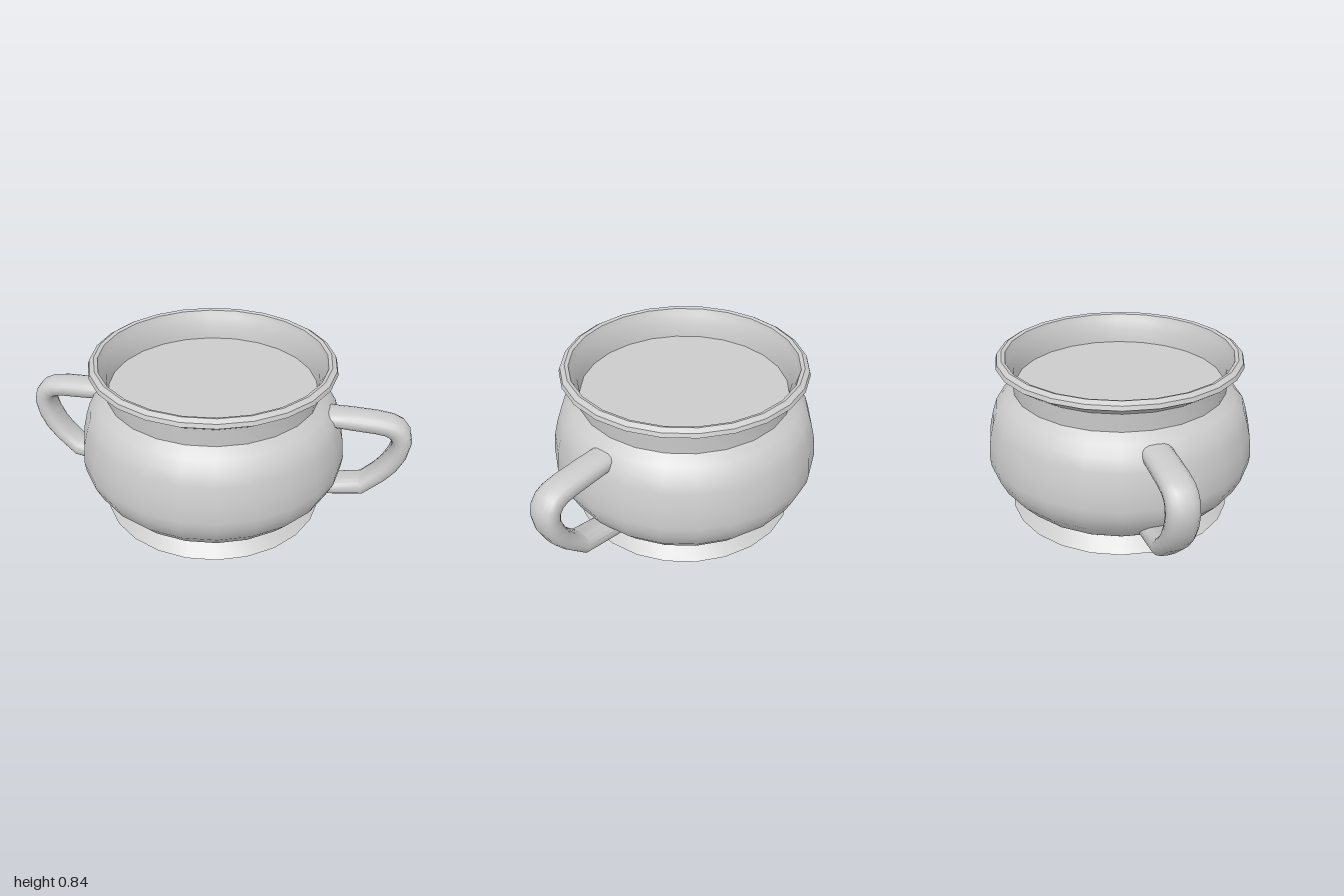
import * as THREE from 'three';
import { toCreasedNormals } from 'three/addons/utils/BufferGeometryUtils.js';

const material = new THREE.MeshStandardMaterial({ color: 0xcccccc, side: THREE.DoubleSide });

function lathe(name, profile, crease) {
  const points = profile.map(([r, y]) => new THREE.Vector2(r, y));
  const mesh = new THREE.Mesh(toCreasedNormals(new THREE.LatheGeometry(points, 24), crease), material);
  mesh.name = name;
  return mesh;
}

// Loft of rounded sections; each station is [outer x, outer y, inner x, inner y].
function handleGeometry(stations, halfWidth, sides) {
  const positions = [];
  const index = [];
  const soften = (v) => Math.sign(v) * Math.abs(v) ** 0.8;
  stations.forEach(([ox, oy, ix, iy]) => {
    for (let j = 0; j < sides; j++) {
      const a = (j / sides) * Math.PI * 2;
      const t = soften(Math.cos(a)) / 2;
      positions.push((ox + ix) / 2 + (ox - ix) * t, (oy + iy) / 2 + (oy - iy) * t, halfWidth * soften(Math.sin(a)));
    }
  });
  for (let i = 0; i < stations.length - 1; i++) {
    for (let j = 0; j < sides; j++) {
      const a = i * sides + j;
      const b = i * sides + ((j + 1) % sides);
      index.push(a, b, a + sides, b, b + sides, a + sides);
    }
  }
  const geometry = new THREE.BufferGeometry();
  geometry.setAttribute('position', new THREE.Float32BufferAttribute(positions, 3));
  geometry.setIndex(index);
  return toCreasedNormals(geometry, 0.62);
}

export function createModel() {
  const group = new THREE.Group();
  group.name = 'twoHandledPot';

  // Pot wall: base, flared foot, belly, neck, rolled rim and inner neck
  const pot = new THREE.Group();
  pot.name = 'pot';
  pot.position.set(-0.012, 0, -0.003);
  pot.add(lathe('potBody', [
    [0, 0], [0.56, 0.005], [0.578, 0.012], [0.525, 0.065], [0.515, 0.075],
    [0.575, 0.12], [0.645, 0.2], [0.68, 0.275], [0.686, 0.33], [0.675, 0.43],
    [0.655, 0.51], [0.633, 0.575], [0.59, 0.62], [0.54, 0.658],
    [0.545, 0.75], [0.62, 0.802], [0.613, 0.822], [0.59, 0.836],
    [0.572, 0.83], [0.56, 0.8], [0.535, 0.75], [0.525, 0.66],
  ], 0.65));

  // Flat surface of the contents just below the neck
  const contents = new THREE.Mesh(new THREE.CircleGeometry(0.532, 24), material);
  contents.name = 'contents';
  contents.rotation.x = -Math.PI / 2;
  contents.position.y = 0.68;
  pot.add(contents);
  group.add(pot);

  // Mirrored pair of handles
  const stations = [
    [0.57, 0.615, 0.57, 0.53], [0.7, 0.618, 0.7, 0.523], [0.82, 0.615, 0.82, 0.519],
    [0.9, 0.605, 0.862, 0.514], [0.95, 0.583, 0.885, 0.503], [0.985, 0.54, 0.897, 0.485],
    [1, 0.48, 0.9, 0.455], [0.985, 0.39, 0.888, 0.41], [0.95, 0.315, 0.86, 0.35],
    [0.9, 0.25, 0.825, 0.3], [0.795, 0.147, 0.765, 0.237], [0.55, 0.108, 0.55, 0.19],
  ];
  for (const side of [1, -1]) {
    const handle = new THREE.Mesh(handleGeometry(stations, 0.075, 16), material);
    handle.name = side > 0 ? 'leftHandle' : 'rightHandle';
    // A half turn mirrors the symmetric handle
    handle.rotation.y = side > 0 ? 0 : Math.PI;
    handle.position.z = -0.003;
    group.add(handle);
  }
  return group;
}
